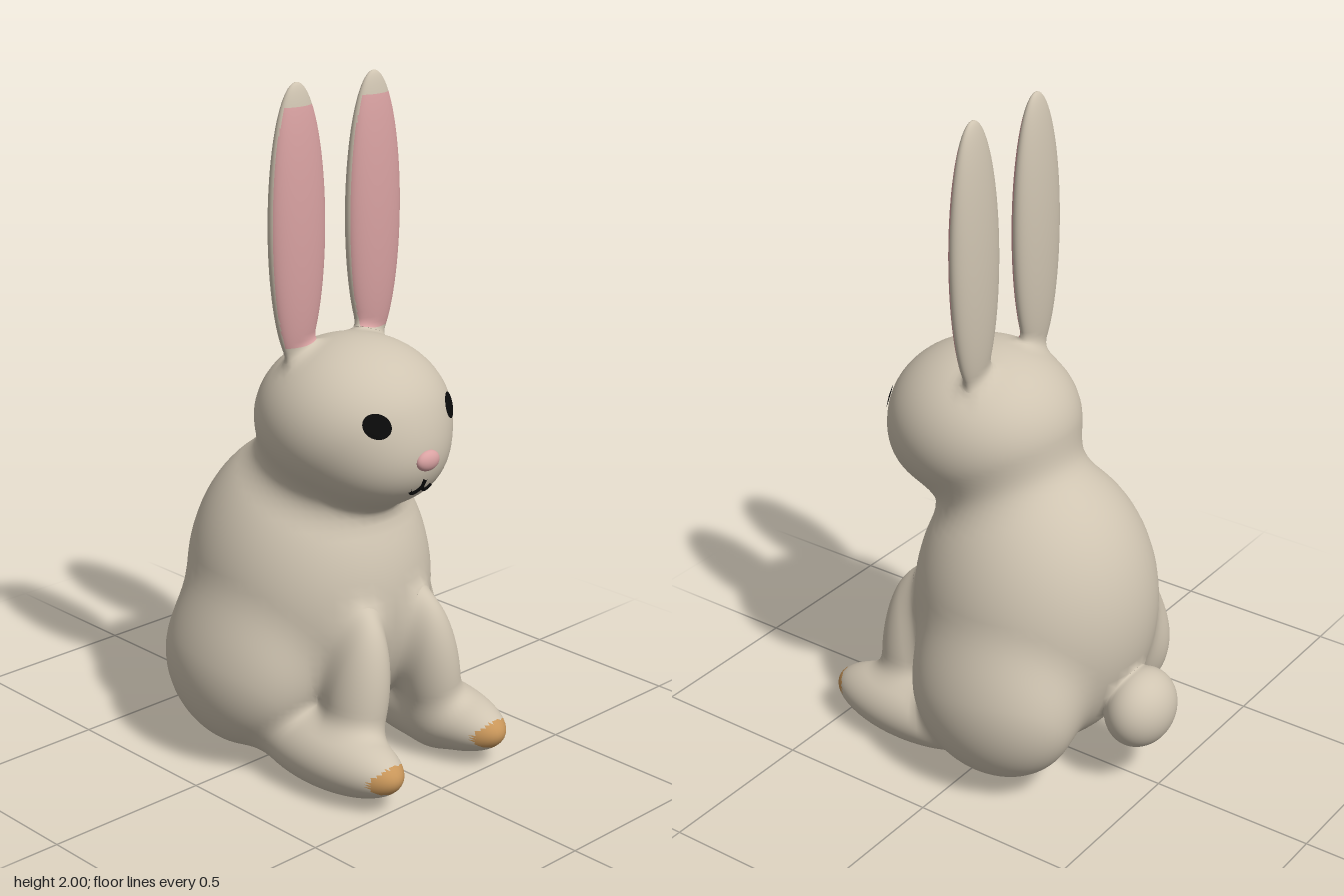
import * as THREE from 'three';

const mat = (name, color) => {
  const m = new THREE.MeshStandardMaterial({ color });
  m.name = name;
  return m;
};

// Soft ellipsoids: centre, radii, tilt about z, and blend width k with the parts before it
const PARTS = [];
const add = (name, c, r, k, tilt = 0) =>
  PARTS.push({ name, c: new THREE.Vector3(...c), r: new THREE.Vector3(...r), k, tilt });
const pair = (name, [x, y, z], r, k, tilt = 0) => {
  add(name + 'Left', [x, y, z], r, k, tilt);
  add(name + 'Right', [-x, y, z], r, k, -tilt);
};
add('body', [0, 0.5, -0.055], [0.36, 0.46, 0.365], 0);
add('head', [0, 1.04, 0.13], [0.28, 0.24, 0.285], 0.11);
add('muzzle', [0, 0.96, 0.25], [0.175, 0.135, 0.163], 0.07);
pair('haunch', [0.25, 0.29, -0.08], [0.18, 0.25, 0.27], 0.08);
pair('frontLeg', [0.148, 0.27, 0.3], [0.085, 0.25, 0.1], 0.06, 0.15);
pair('foot', [0.213, 0.105, 0.25], [0.119, 0.102, 0.285], 0.05);
add('tail', [0, 0.25, -0.43], [0.127, 0.12, 0.1], 0.015);
pair('ear', [0.147, 1.6, 0.055], [0.1, 0.4, 0.045], 0.04);

const Z = new THREE.Vector3(0, 0, 1);
const q = new THREE.Vector3();

// Approximate distance to one ellipsoid
function ellipsoid(p, { c, r, tilt }) {
  q.copy(p).sub(c);
  if (tilt) q.applyAxisAngle(Z, -tilt);
  const k0 = q.divide(r).length();
  const k1 = q.divide(r).length();
  return k1 < 1e-6 ? -Math.min(r.x, r.y, r.z) : (k0 * (k0 - 1)) / k1;
}

// Smooth union of all the parts
function field(p) {
  let d = 10;
  for (const part of PARTS) {
    const e = ellipsoid(p, part);
    const h = part.k ? Math.max(part.k - Math.abs(d - e), 0) / part.k : 0;
    d = Math.min(d, e) - (h * h * part.k) / 4;
  }
  return d;
}

function normalAt(p) {
  const e = 0.002;
  const slope = (axis) => {
    const a = p.clone(), b = p.clone();
    a[axis] += e;
    b[axis] -= e;
    return field(a) - field(b);
  };
  return new THREE.Vector3(slope('x'), slope('y'), slope('z')).normalize();
}

// Sphere shaped into a part, its edges drawn out to the shared soft surface.
// isPainted picks the faces, by their centre on the unit sphere, for the second material.
function softPart(part, isPainted) {
  const geo = new THREE.SphereGeometry(1, 56, 44);
  const pos = geo.attributes.position, nor = geo.attributes.normal;
  const v = new THREE.Vector3();
  if (isPainted) {
    const sets = [[], []], idx = geo.index.array;
    for (let i = 0; i < idx.length; i += 3) {
      const tri = [idx[i], idx[i + 1], idx[i + 2]];
      const mid = new THREE.Vector3();
      tri.forEach((j) => mid.add(v.fromBufferAttribute(pos, j)));
      sets[isPainted(mid.divideScalar(3)) ? 1 : 0].push(...tri);
    }
    geo.setIndex([...sets[0], ...sets[1]]);
    geo.addGroup(0, sets[0].length, 0);
    geo.addGroup(sets[0].length, sets[1].length, 1);
  }
  for (let i = 0; i < pos.count; i++) {
    v.fromBufferAttribute(pos, i).multiply(part.r).applyAxisAngle(Z, part.tilt).add(part.c);
    if (field(v) > -0.04) {
      for (let s = 0; s < 4; s++) v.addScaledVector(normalAt(v), -field(v));
    }
    const n = normalAt(v);
    pos.setXYZ(i, v.x, v.y, v.z);
    nor.setXYZ(i, n.x, n.y, n.z);
  }
  return geo;
}

// Point on the front of the face, lifted slightly off the surface
function onFace(x, y, lift) {
  const p = new THREE.Vector3(x, y, 0.6);
  for (let i = 0; i < 60; i++) p.z -= field(p) * 0.8;
  return p.addScaledVector(normalAt(p), lift);
}

export function createModel() {
  const group = new THREE.Group();
  group.name = 'rabbit';
  const fur = mat('fur', 0xcfc4b1);
  const pink = mat('pink', 0xd9a2a2);
  const toe = mat('toe', 0xc8965a);
  const black = mat('black', 0x0a0a0a);
  const put = (name, geo, material) => {
    const mesh = new THREE.Mesh(geo, material);
    mesh.name = name;
    group.add(mesh);
    return mesh;
  };

  // Body parts, with pink inner ears and tan toe tips
  const innerEar = (u) => u.z > 0.2 && u.y < 0.83 && u.y > -0.84;
  const toeTip = (u) => u.z > 0 && (u.x / 0.58) ** 2 + (u.y / 0.4) ** 2 < 1;
  for (const part of PARTS) {
    if (part.name.startsWith('ear')) put(part.name, softPart(part, innerEar), [fur, pink]);
    else if (part.name.startsWith('foot')) put(part.name, softPart(part, toeTip), [fur, toe]);
    else put(part.name, softPart(part), fur);
  }

  // Eyes: thin discs laid on the face
  for (const [name, x] of [['eyeLeft', 0.14], ['eyeRight', -0.14]]) {
    const geo = new THREE.CircleGeometry(0.034, 32);
    const pos = geo.attributes.position;
    for (let i = 0; i < pos.count; i++) {
      const p = onFace(pos.getX(i) + x, pos.getY(i) + 1.095, 0.005);
      pos.setXYZ(i, p.x, p.y, p.z);
    }
    geo.computeVertexNormals();
    put(name, geo, black);
  }

  // Nose
  const nose = put('nose', new THREE.SphereGeometry(1, 32, 20), pink);
  nose.scale.set(0.042, 0.03, 0.022);
  nose.position.copy(onFace(0, 0.98, -0.002));

  // Mouth: a short stem and two small curls
  const line = (name, pts) => {
    const curve = new THREE.CatmullRomCurve3(pts.map(([x, y]) => onFace(x, y, 0.001)));
    put(name, new THREE.TubeGeometry(curve, 16, 0.006, 8), black);
  };
  line('mouthStem', [[0, 0.925], [0, 0.912], [0, 0.898]]);
  for (const s of [1, -1]) {
    line(s > 0 ? 'mouthLeft' : 'mouthRight',
      [[0, 0.9], [s * 0.012, 0.887], [s * 0.026, 0.882], [s * 0.042, 0.895]]);
  }
  return group;
}
